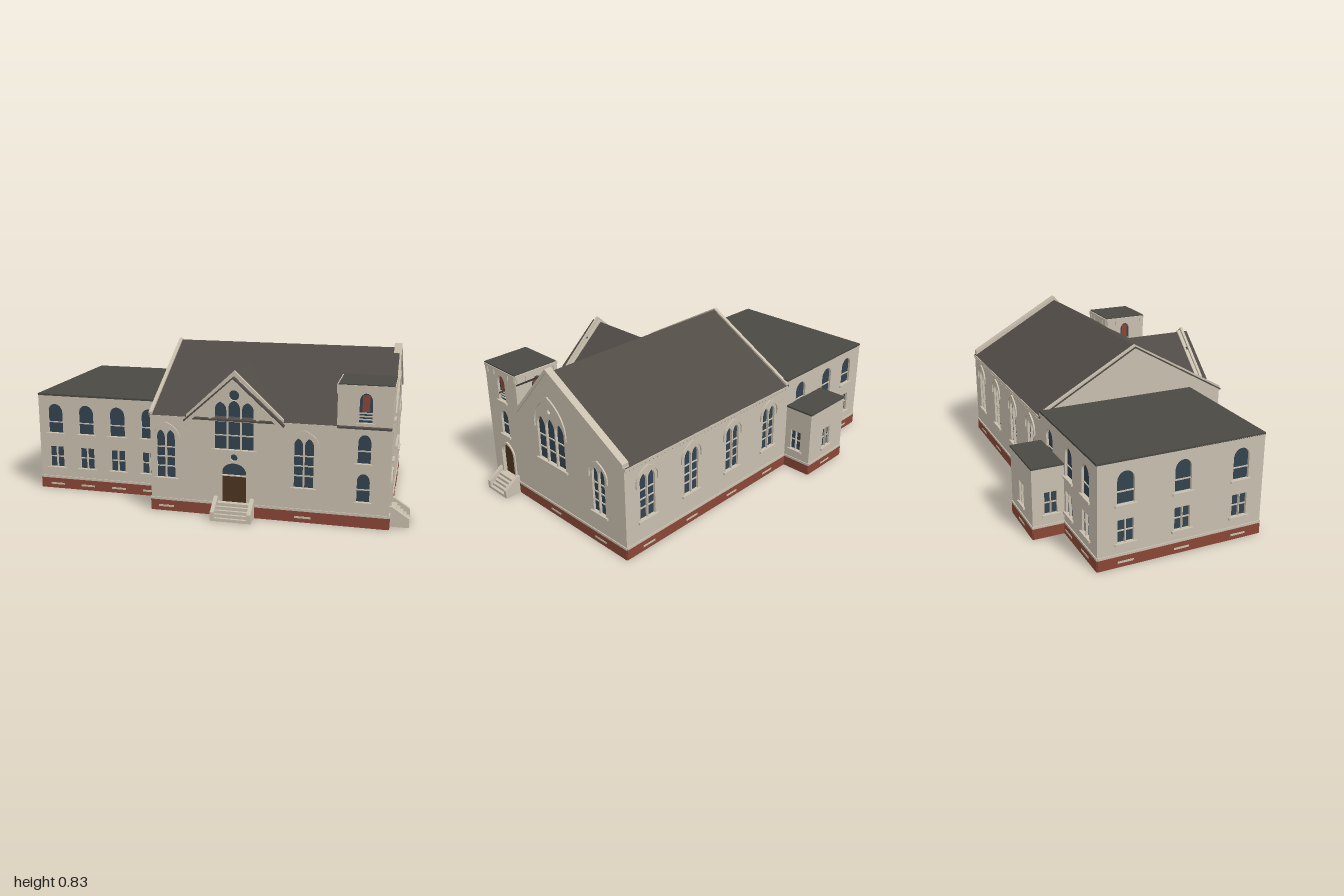
import * as THREE from 'three';

const mat = (name, color, opts = {}) => Object.assign(new THREE.MeshStandardMaterial({ color, ...opts }), { name });
const T = 0.03; // wall thickness

export function createModel() {
  const M = {
    wall: mat('stone', 0xc8bfae),
    roof: mat('pitchedRoof', 0x514b46),
    flat: mat('flatRoof', 0x4b4942),
    brick: mat('brick', 0x8a4736),
    glass: mat('glass', 0x33434f),
    door: mat('doorWood', 0x4d3420),
  };
  const model = new THREE.Group();
  model.name = 'church';

  const add = (parent, name, geo, m, x = 0, y = 0, z = 0) => {
    const mesh = new THREE.Mesh(geo, m);
    mesh.name = name;
    mesh.position.set(x, y, z);
    parent.add(mesh);
    return mesh;
  };
  // box given by its limits
  const box = (parent, name, m, x0, x1, y0, y1, z0, z1) =>
    add(parent, name, new THREE.BoxGeometry(x1 - x0, y1 - y0, z1 - z0), m, (x0 + x1) / 2, (y0 + y1) / 2, (z0 + z1) / 2);
  const poly = (pts) => new THREE.Shape(pts.map(([x, y]) => new THREE.Vector2(x, y)));
  const extrude = (shape, depth) => new THREE.ExtrudeGeometry(shape, { depth, bevelEnabled: false, curveSegments: 8 });

  // opening outline: rectangle, round arch or pointed arch
  function opening(c, y0, w, spring, rise = 0, round = false) {
    const p = new THREE.Path(), l = c - w / 2, r = c + w / 2;
    p.moveTo(l, y0).lineTo(r, y0).lineTo(r, spring);
    if (round) p.absellipse(c, spring, w / 2, rise, 0, Math.PI, false);
    else if (rise) {
      p.quadraticCurveTo(r, spring + rise * 0.65, c, spring + rise);
      p.quadraticCurveTo(l, spring + rise * 0.65, l, spring);
    } else p.lineTo(l, spring);
    p.lineTo(l, y0);
    return p;
  }
  const circle = (c, y, r) => new THREE.Path().absarc(c, y, r, 0, Math.PI * 2, false);

  // window types; each lists its holes, bars, sill and hood
  const sash = (c) => ({ c, w: 0.086, y0: 0.315, holes: [opening(c, 0.315, 0.086, 0.43, 0.046, true)], bars: [0.374], sill: true });
  const square = (c, w = 0.086) => ({ c, w, y0: 0.122, holes: [-1, 1].map((s) => opening(c + s * w / 4, 0.122, w / 2 - 0.005, 0.238)), bars: [0.18], sill: true });
  const lancet = (c, w = 0.104) => ({
    c, w, y0: 0.176, sill: true, bars: [0.235, 0.285, 0.335],
    holes: [-1, 1].map((s) => opening(c + s * w / 4, 0.176, w / 2 - 0.007, 0.385, 0.04)),
    hood: [0.365, w + 0.045, 0.39, 0.078],
  });
  const slit = (c, y0) => ({ c, w: 0.062, y0, holes: [opening(c, y0, 0.062, y0 + 0.1, 0.042, true)], sill: true, bars: [y0 + 0.06] });
  const belfry = (c) => ({ ...slit(c, 0.52), bars: [0.535, 0.55, 0.565], louvre: true });
  const triple = (c, w, y0, spring, rise, lift, bars) => ({
    c, w, y0, bars, sill: true,
    holes: [-1, 0, 1].map((s) => opening(c + s * w / 3, y0, w / 3 - 0.008, spring + (s ? 0 : lift * 0.25), rise))
      .concat([circle(c, spring + rise + lift, 0.026), circle(c - 0.021, spring + rise + lift - 0.008, 0.012), circle(c + 0.021, spring + rise + lift - 0.008, 0.012)].slice(0, lift > 0.03 ? 1 : 0)),
  });

  // raised moulding around an arch head
  function hood(g, c, yb, w, spring, rise, t = 0.012) {
    const s = new THREE.Shape(), o = w / 2, i = o - t, top = spring + rise;
    s.moveTo(c - o, yb).lineTo(c - o, spring);
    s.quadraticCurveTo(c - o, spring + rise * 0.65, c, top).quadraticCurveTo(c + o, spring + rise * 0.65, c + o, spring);
    s.lineTo(c + o, yb).lineTo(c + i, yb).lineTo(c + i, spring);
    s.quadraticCurveTo(c + i, spring + rise * 0.6, c, top - t * 1.2).quadraticCurveTo(c - i, spring + rise * 0.6, c - i, spring);
    s.lineTo(c - i, yb);
    add(g, 'hoodMould', extrude(s, 0.009), M.wall, 0, 0, -0.001);
  }

  // wall in its own frame: local x runs along it, +z points outward
  const turn = { front: 0, east: Math.PI / 2, back: Math.PI, west: -Math.PI / 2 };
  function wall(name, side, plane, outline, windows = [], { vents = [], base = true } = {}) {
    const g = new THREE.Group();
    g.name = name;
    g.rotation.y = turn[side];
    g.position.set(side === 'east' || side === 'west' ? plane : 0, 0, side === 'front' || side === 'back' ? plane : 0);
    model.add(g);
    const shape = poly(outline);
    windows.forEach((w) => shape.holes.push(...w.holes));
    add(g, 'masonry', extrude(shape, T), M.wall, 0, 0, -T);
    for (const w of windows) {
      const b = new THREE.Box2().setFromPoints(w.holes.flatMap((h) => h.getPoints(8)));
      box(g, w.door ? 'doorLeaf' : 'pane', w.door ? M.door : M.glass, b.min.x, b.max.x, b.min.y, b.max.y, -0.018, -0.013);
      for (const y of w.bars || []) box(g, 'glazingBar', M.wall, b.min.x, b.max.x, y - 0.003, y + 0.003, -0.014, -0.008);
      if (w.sill) box(g, 'sill', M.wall, w.c - w.w / 2 - 0.012, w.c + w.w / 2 + 0.012, w.y0 - 0.012, w.y0, -0.008, 0.01);
      if (w.hood) hood(g, w.c, ...w.hood);
      if (w.louvre) box(g, 'shutter', M.brick, w.c - 0.017, w.c + 0.017, 0.572, 0.65, -0.013, -0.009);
    }
    if (base) {
      const xs = outline.map((p) => p[0]), a = Math.min(...xs), b = Math.max(...xs);
      box(g, 'brickBase', M.brick, a, b, 0, 0.057, -0.005, 0.004);
      const doors = windows.filter((w) => w.door);
      const cuts = [a, ...doors.flatMap((d) => [d.c - d.w / 2, d.c + d.w / 2]), b];
      for (let i = 0; i < cuts.length; i += 2) box(g, 'waterTable', M.wall, cuts[i], cuts[i + 1], 0.057, 0.069, -0.005, 0.005);
      for (const v of vents) box(g, 'vent', M.wall, v - 0.04, v + 0.04, 0.021, 0.031, 0.002, 0.006);
    }
    return g;
  }
  const rect = (a, b, h, y = 0) => [[a, y], [b, y], [b, h], [a, h]];

  // stairs with sloping cheek walls, in a wall's frame
  function stairs(g, c, w, d) {
    const s = new THREE.Group();
    s.name = 'stairs';
    g.add(s);
    for (let i = 0; i < 5; i++) box(s, 'step', M.wall, c - w / 2, c + w / 2, 0, 0.015 * (i + 1), 0, d * (1 - i / 6));
    for (const k of [-1, 1]) {
      const m = add(s, 'cheek', extrude(poly([[0, 0], [d, 0], [d, 0.045], [0.012, 0.1], [0, 0.1]]), 0.02), M.wall, c + k * w / 2 + 0.01 - 0.02, 0, 0);
      m.rotation.y = -Math.PI / 2;
      m.position.x += 0.02;
    }
  }
  const dentils = (g, a, b, y) => {
    box(g, 'cornice', M.wall, a, b, y, y + 0.012, -0.01, 0.008);
    const n = Math.round((b - a) / 0.025);
    for (let i = 0; i < n; i++) box(g, 'dentil', M.wall, a + (i + 0.25) * (b - a) / n, a + (i + 0.75) * (b - a) / n, y - 0.01, y, -0.002, 0.006);
  };
  // strip following a gable line
  const coping = (g, pts, t, z, depth) =>
    add(g, 'coping', extrude(poly([...pts, ...pts.map(([x, y]) => [x, y - t]).reverse()]), depth), M.wall, 0, 0, z);

  // west wing
  const cols = [-0.905, -0.726, -0.547, -0.368];
  wall('wingFront', 'front', 0.375, rect(-1, -0.29, 0.525), cols.flatMap((c) => [sash(c), square(c)]), { vents: cols });
  const side = [-0.35, -0.06, 0.25];
  wall('wingSide', 'west', -1, rect(-0.49, 0.375, 0.525), side.flatMap((c) => [sash(c), square(c)]), { vents: side });
  wall('wingBack', 'back', -0.49, rect(0.29, 1, 0.525),
    [sash(0.42), sash(0.67), sash(0.87), square(0.67), square(0.87)], { vents: [0.67, 0.87] });
  box(model, 'wingRoof', M.flat, -1, -0.29, 0.522, 0.532, -0.493, 0.378);

  // small rear annex
  wall('annexBack', 'back', -0.655, rect(0.3, 0.61, 0.368), [square(0.455, 0.07)], { vents: [0.455] });
  wall('annexEast', 'east', -0.3, rect(0.47, 0.655, 0.368), [square(0.56, 0.07)]);
  wall('annexWest', 'west', -0.61, rect(-0.655, -0.47, 0.368), [square(-0.56, 0.07)]);
  box(model, 'annexRoof', M.flat, -0.612, -0.298, 0.366, 0.375, -0.657, -0.488);

  // hall front with the entrance gable
  const mid = 0.143;
  const hf = wall('hallFront', 'front', 0.565,
    [[-0.29, 0], [0.645, 0], [0.645, 0.5], [0.39, 0.5], [0.145, 0.725], [-0.1, 0.5], [-0.29, 0.5]],
    [lancet(-0.21), lancet(0.49),
      { ...triple(mid, 0.205, 0.345, 0.486, 0, 0, [0.415]) },
      { ...triple(mid, 0.205, 0.503, 0.545, 0.04, 0.034, []), sill: false, hood: [0.5, 0.25, 0.53, 0.18] },
      { c: mid, w: 0.124, y0: 0.07, door: true, holes: [opening(mid, 0.07, 0.124, 0.208)] },
      { c: mid, w: 0.124, y0: 0.213, holes: [opening(mid, 0.213, 0.124, 0.225, 0.05, true)] },
      { c: mid, w: 0.04, y0: 0.29, holes: [circle(mid, 0.304, 0.018)] }],
    { vents: [-0.21, 0.49] });
  stairs(hf, 0.145, 0.185, 0.09);
  dentils(hf, -0.29, -0.08, 0.488);
  dentils(hf, 0.37, 0.645, 0.488);
  coping(hf, [[-0.1, 0.512], [0.145, 0.742], [0.39, 0.512]], 0.03, -0.01, 0.015);
  coping(hf, [[-0.095, 0.489], [0.145, 0.707], [0.385, 0.489]], 0.022, 0.028, 0.008);

  // hall ends and back
  const he = wall('hallEast', 'east', 0.905, [[-0.31, 0], [0.49, 0], [0.49, 0.505], [-0.04, 0.805], [-0.31, 0.5]],
    [{ ...triple(-0.043, 0.217, 0.305, 0.495, 0.055, 0.026, [0.37, 0.44]), hood: [0.48, 0.256, 0.5, 0.177] },
      { c: -0.043, w: 0.05, y0: 0.57, holes: [circle(-0.043, 0.596, 0.012)] }, lancet(0.305, 0.096)], { vents: [-0.04, 0.305] });
  coping(he, [[-0.315, 0.518], [-0.04, 0.826], [0.488, 0.525]], 0.022, -T - 0.002, T + 0.009);
  const backs = [-0.764, -0.466, -0.16, 0.138];
  const hb = wall('hallBack', 'back', -0.49, rect(-0.905, 0.29, 0.5), backs.map((c) => lancet(c)), { vents: backs });
  dentils(hb, -0.905, 0.29, 0.488);
  const hw = wall('hallWest', 'west', -0.29, [[-0.49, 0], [0.565, 0], [0.565, 0.495], [0.04, 0.795], [-0.49, 0.495]]);
  coping(hw, [[-0.49, 0.515], [0.04, 0.812], [0.565, 0.515]], 0.022, -0.012, 0.018);

  // hall roof and entrance gable roof
  const chevron = (a, c, b, y0, y1, t) => poly([[a, y0], [c, y1], [b, y0], [b, y0 - t], [c, y1 - t], [a, y0 - t]]);
  const main = add(model, 'hallRoof', extrude(chevron(-0.572, -0.04, 0.496, 0.499, 0.803, 0.009), 1.2), M.roof, -0.298, 0, 0);
  main.rotation.y = Math.PI / 2;
  add(model, 'gableRoof', extrude(chevron(-0.105, 0.145, 0.395, 0.492, 0.716, 0.01), 0.435), M.roof, 0, 0, 0.165);

  // corner tower
  const tower = [
    wall('towerFront', 'front', 0.565, rect(0.645, 0.905, 0.698), [slit(0.778, 0.128), slit(0.778, 0.32), belfry(0.778)]),
    wall('towerEast', 'east', 0.905, rect(-0.565, -0.305, 0.698),
      [belfry(-0.436), slit(-0.436, 0.32),
        { c: -0.436, w: 0.102, y0: 0.072, door: true, holes: [opening(-0.436, 0.072, 0.102, 0.2, 0.06, true)], hood: [0.08, 0.126, 0.205, 0.072] }]),
    wall('towerBack', 'back', 0.305, rect(-0.905, -0.645, 0.698, 0.5), [belfry(-0.775)], { base: false }),
    wall('towerWest', 'west', 0.645, rect(0.305, 0.565, 0.698, 0.49), [belfry(0.435)], { base: false }),
  ];
  stairs(tower[1], -0.436, 0.145, 0.095);
  [0.775, -0.435, -0.775, 0.435].forEach((c, i) => {
    box(tower[i], 'cornice', M.wall, c - 0.13, c + 0.13, 0.686, 0.7, -0.01, 0.006);
    for (const k of [-0.115, -0.06, 0.06, 0.115]) box(tower[i], 'bracket', M.wall, c + k - 0.01, c + k + 0.01, 0.655, 0.686, -0.002, 0.005);
  });
  box(model, 'towerRoof', M.flat, 0.647, 0.907, 0.697, 0.705, 0.307, 0.567);

  return model;
}
